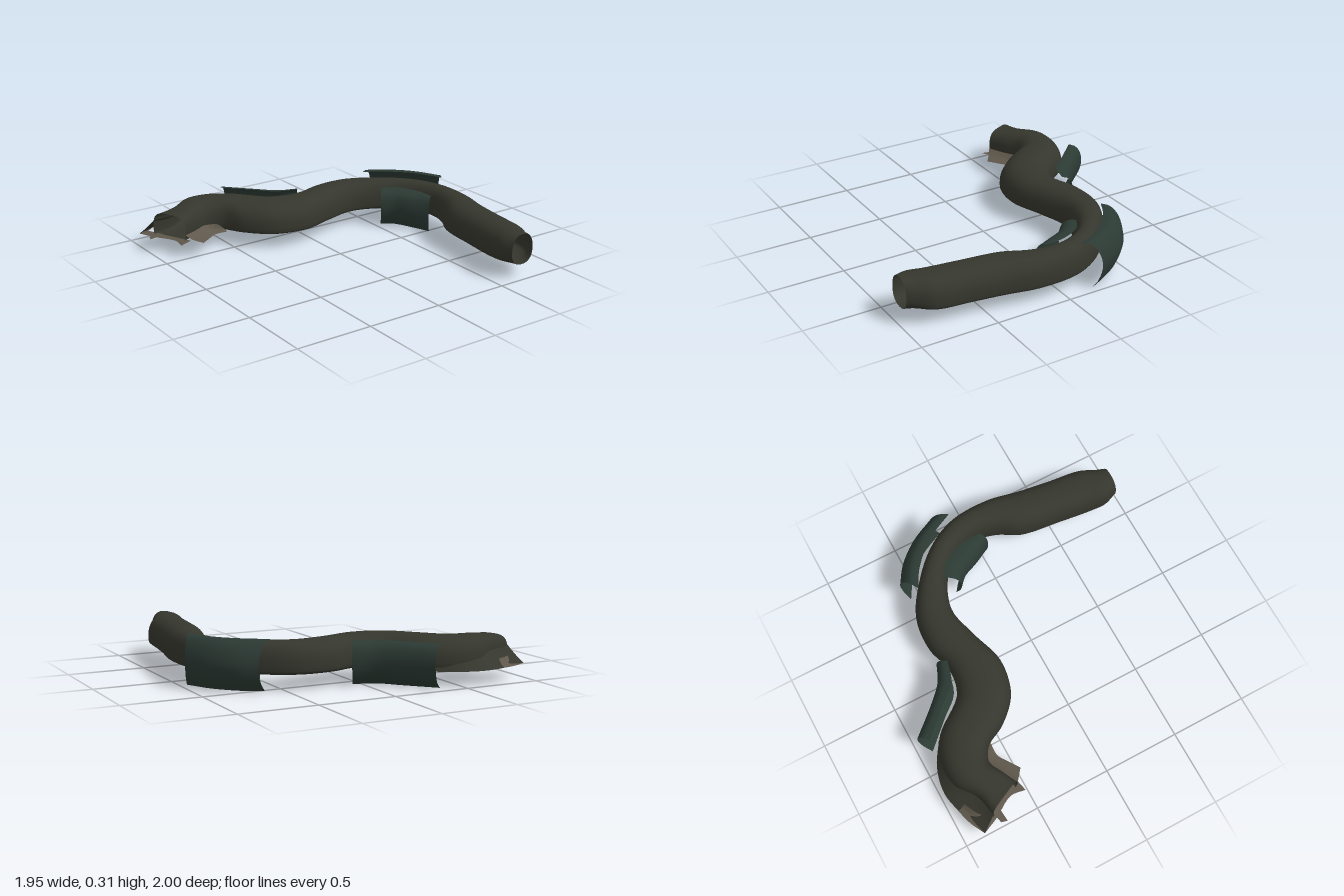
import * as THREE from 'three';

const mat = (color) => new THREE.MeshStandardMaterial({ color, side: THREE.DoubleSide });
const curve = (pts) => new THREE.CatmullRomCurve3(pts.map(([x, z]) => new THREE.Vector3(x, 0, z)));

// Skin a grid of points given as rows; closed joins each row's ends
function loft(name, rows, closed, material) {
  const n = rows[0].length, index = [];
  for (let i = 0; i < rows.length - 1; i++) {
    for (let j = 0; j < (closed ? n : n - 1); j++) {
      const k = (j + 1) % n;
      const a = i * n + j, b = i * n + k, c = a + n, d = b + n;
      index.push(a, b, c, b, d, c);
    }
  }
  const geo = new THREE.BufferGeometry().setFromPoints(rows.flat());
  geo.setIndex(index);
  geo.computeVertexNormals();
  const mesh = new THREE.Mesh(geo, material);
  mesh.name = name;
  return mesh;
}

// Tunnel section between two plan edges: rounded roof, flatter floor
function tunnel(left, right, material) {
  const L = curve(left), R = curve(right), steps = 110, sides = 32, rows = [];
  const sq = (v, p) => Math.sign(v) * Math.abs(v) ** p;
  for (let i = 0; i <= steps; i++) {
    const t = i / steps, a = L.getPoint(t), b = R.getPoint(t);
    const body = THREE.MathUtils.smoothstep(t, 0, 0.15);
    const mouth = THREE.MathUtils.smoothstep(t, 0.87, 1);
    const row = [];
    for (let j = 0; j < sides; j++) {
      const ang = (j / sides) * Math.PI * 2;
      const c = Math.cos(ang), s = Math.sin(ang);
      const power = s > 0 ? 0.85 - 0.25 * mouth : 0.85 - 0.4 * body;
      const waist = 0.18 - 0.04 * body;
      const p = a.clone().lerp(b, 0.5 + 0.5 * sq(c, power));
      p.y = waist + (s > 0 ? 0.29 - 0.03 * mouth - waist : waist - 0.09) * sq(s, power);
      row.push(p);
    }
    rows.push(row);
  }
  return loft('tunnel', rows, true, material);
}

// Curved shield: profile entries are [blend from inner to outer edge, height]
function shield(name, inner, outer, profile, material) {
  const I = curve(inner), O = curve(outer), steps = 20, rows = [];
  const section = new THREE.CatmullRomCurve3(profile.map(([f, y]) => new THREE.Vector3(f, y, 0))).getPoints(14);
  for (let i = 0; i <= steps; i++) {
    const a = I.getPoint(i / steps), b = O.getPoint(i / steps);
    rows.push(section.map((s) => {
      const p = a.clone().lerp(b, s.x);
      p.y = s.y;
      return p;
    }));
  }
  return loft(name, rows, false, material);
}

export function createModel() {
  const model = new THREE.Group();
  const rock = mat(0x35362d), panel = mat(0x2c3a34), sand = mat(0x5f574b);

  // Winding main passage, from the side mouth to the front mouth
  const left = [
    [0.97, -0.77], [0.91, -0.8], [0.82, -0.85], [0.6, -0.88], [0.4, -0.91], [0.17, -0.95], [-0.1, -0.93],
    [-0.3, -0.83], [-0.48, -0.65], [-0.61, -0.44], [-0.63, -0.22], [-0.58, -0.03], [-0.62, 0.15],
    [-0.84, 0.34], [-0.91, 0.5], [-0.9, 0.66], [-0.81, 0.8], [-0.78, 0.94]];
  const right = [
    [0.97, -0.6], [0.88, -0.57], [0.78, -0.58], [0.55, -0.61], [0.28, -0.65], [0.13, -0.73], [-0.02, -0.76],
    [-0.2, -0.7], [-0.31, -0.58], [-0.38, -0.37], [-0.33, -0.15], [-0.265, 0.08], [-0.31, 0.3],
    [-0.45, 0.45], [-0.59, 0.53], [-0.64, 0.63], [-0.6, 0.73], [-0.55, 0.83]];
  model.add(tunnel(left, right, rock));

  // Shields around the bends
  model.add(shield('backShield',
    [[-0.52, -0.56], [-0.45, -0.68], [-0.3, -0.83], [-0.11, -0.93]],
    [[-0.6, -0.69], [-0.52, -0.81], [-0.39, -0.92], [-0.23, -1]],
    [[0, 0.31], [0.45, 0.305], [0.85, 0.24], [1, 0.16], [0.88, 0.08], [0.55, 0.01]], panel));
  model.add(shield('innerShield',
    [[-0.33, -0.57], [-0.27, -0.66], [-0.12, -0.73], [0.01, -0.74]],
    [[-0.24, -0.51], [-0.18, -0.57], [-0.07, -0.62], [0.05, -0.69]],
    [[0, 0.25], [0.5, 0.245], [0.9, 0.2], [1, 0.13], [0.88, 0.06], [0.6, 0.01]], panel));
  model.add(shield('sideShield',
    [[-0.91, 0.36], [-0.74, 0.2], [-0.62, 0.09], [-0.575, -0.05]],
    [[-0.97, 0.29], [-0.79, 0.13], [-0.69, 0.02], [-0.64, -0.09]],
    [[0, 0.27], [0.6, 0.255], [0.95, 0.2], [1, 0.15], [0.8, 0.07], [0, 0]], panel));

  // Sloping bank beside the last bend
  model.add(shield('leftBank',
    [[-0.8, 0.34], [-0.87, 0.5], [-0.86, 0.66], [-0.78, 0.8], [-0.77, 0.94]],
    [[-0.85, 0.34], [-0.94, 0.49], [-0.975, 0.66], [-0.94, 0.82], [-0.87, 1]],
    [[0, 0.2], [0.5, 0.14], [1, 0.09]], rock));

  // Low lips and uneven floor of the front mouth
  const lips = new THREE.Group();
  lips.name = 'mouthLips';
  lips.add(shield('rightLip',
    [[-0.6, 0.53], [-0.64, 0.63], [-0.6, 0.74], [-0.55, 0.83]],
    [[-0.57, 0.51], [-0.57, 0.6], [-0.52, 0.68], [-0.48, 0.74]],
    [[0, 0.14], [0.4, 0.11], [1, 0.09]], sand));
  lips.add(shield('leftLip',
    [[-0.9, 0.79], [-0.86, 0.87], [-0.8, 0.94]],
    [[-0.95, 0.8], [-0.92, 0.9], [-0.87, 1]],
    [[0, 0.14], [0.4, 0.11], [1, 0.09]], sand));
  lips.add(shield('mouthFloor',
    [[-0.86, 0.94], [-0.76, 0.9], [-0.65, 0.85], [-0.54, 0.8]],
    [[-0.87, 1], [-0.76, 0.95], [-0.62, 0.87], [-0.52, 0.88]],
    [[0, 0.1], [0.5, 0.095], [1, 0.09]], sand));
  lips.add(shield('floorSpur',
    [[-0.77, 0.92], [-0.72, 0.9]], [[-0.75, 0.99], [-0.71, 1]],
    [[0, 0.11], [1, 0.1]], sand));
  model.add(lips);
  return model;
}
